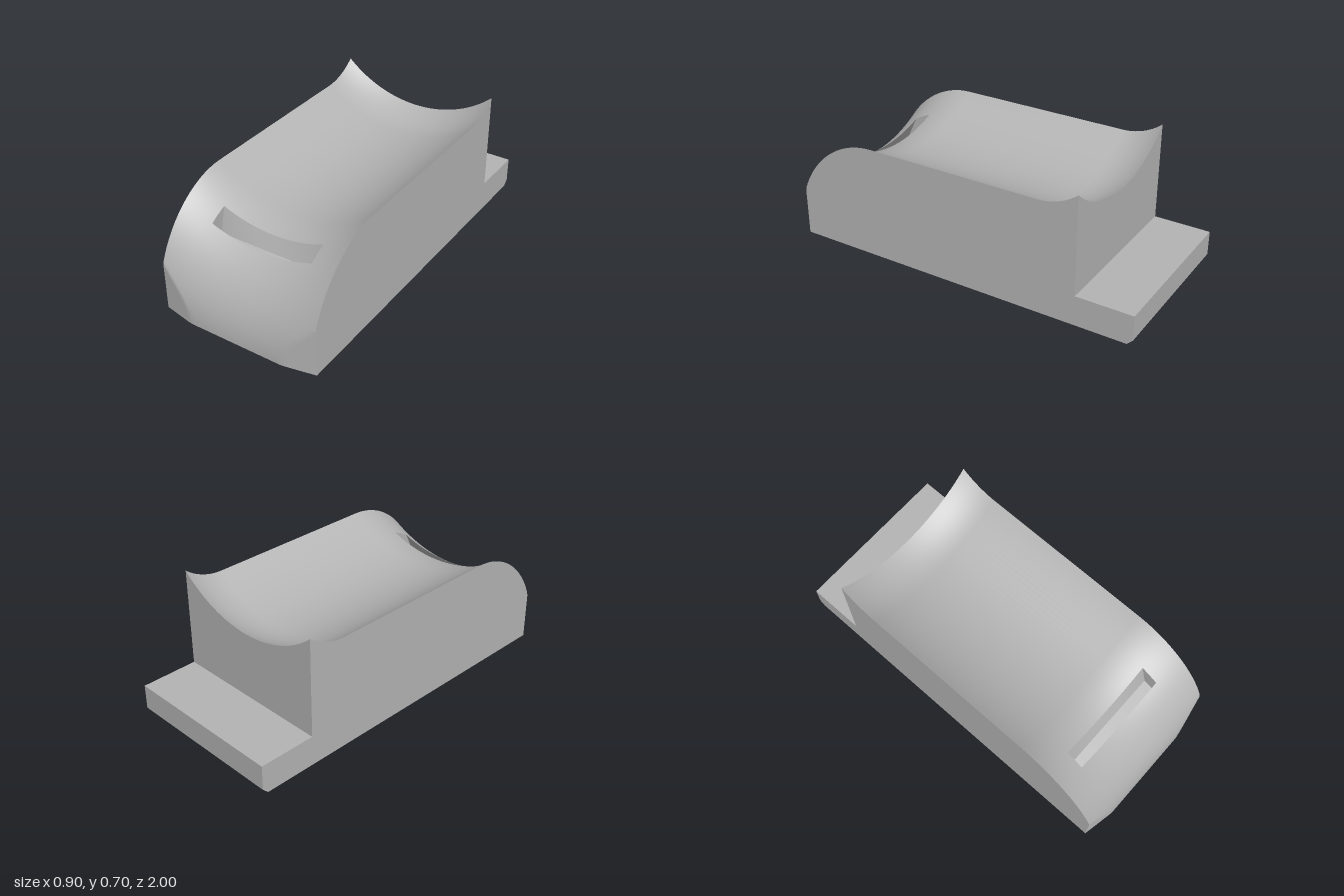
import * as THREE from 'three';
import { mergeGeometries, toCreasedNormals } from 'three/addons/utils/BufferGeometryUtils.js';

const HALF = 0.45, SLOT = 0.292, AXIS = 1.2;   // half width, slot half width, height of the saddle's axis
const SLOT_A = 0.347, SLOT_B = 0.559;          // nose angles where the slot opens and ends

const range = (a, b, n) => Array.from({ length: n + 1 }, (_, i) => a + (b - a) * i / n);

// Saddle surface: a profile of [z, radius] turned about a lengthwise axis above the body
const back = range(-0.69, -0.47, 12).map(z => {
  const d = z + 0.47, R = 0.416;
  return [z, 0.733 - R + Math.sqrt(R * R - d * d)];
});
const nose = a => [0.5 + 0.5 * Math.sin(a), 1.21 - 0.477 * Math.cos(a)];
const rearTop = [...back, ...range(0, SLOT_A, 6).map(nose)];
const slotTop = range(SLOT_A, SLOT_B, 4).slice(1, -1).map(nose);
const lipTop = range(SLOT_B, Math.PI / 2, 28).map(nose);

// Point on the saddle at x, with the front corners cut back
const onSaddle = x => ([z, r]) => [
  Math.min(z, 0.965 + (HALF - Math.abs(x)) * 0.2),
  Math.max(0, AXIS - Math.sqrt(r * r - x * x)),
];

const foot = [[-0.97, 0], [-1, 0.03], [-1, 0.165], [-0.69, 0.165]];
const slotBack = [[0.705, 0.36], [0.76, 0.34], [0.86, 0]];
const slotFront = [0.98, 0];
const noseBase = x => [onSaddle(x)(nose(Math.PI / 2))[0], 0];

// Side-on outlines at a given x
const fullOutline = x => [...foot, ...[...rearTop, ...slotTop, ...lipTop].map(onSaddle(x)), noseBase(x)];
const rearOutline = x => [...foot, ...rearTop.map(onSaddle(x)), ...slotBack];
const lipOutline = x => [...lipTop.map(onSaddle(x)), noseBase(x), slotFront];

// Skin between the outlines at successive x positions
function loft(outline, xs) {
  const pos = [];
  for (let k = 0; k < xs.length - 1; k++) {
    const a = outline(xs[k]), b = outline(xs[k + 1]);
    a.forEach((_, i) => {
      const j = (i + 1) % a.length;
      const A = [xs[k], a[i][1], a[i][0]], B = [xs[k], a[j][1], a[j][0]];
      const C = [xs[k + 1], b[j][1], b[j][0]], D = [xs[k + 1], b[i][1], b[i][0]];
      pos.push(...A, ...B, ...C, ...A, ...C, ...D);
    });
  }
  const g = new THREE.BufferGeometry();
  g.setAttribute('position', new THREE.Float32BufferAttribute(pos, 3));
  return g;
}

// Flat end at x, facing +x or -x
function cap(points, x, facing) {
  const shape = new THREE.Shape(points.map(([z, y]) => new THREE.Vector2(-facing * z, y)));
  const g = new THREE.ShapeGeometry(shape).toNonIndexed();
  g.rotateY(facing * Math.PI / 2).translate(x, 0, 0);
  g.deleteAttribute('uv');
  g.deleteAttribute('normal');
  return g;
}

export function createModel() {
  const group = new THREE.Group();
  group.name = 'saddleBlock';
  const grey = new THREE.MeshStandardMaterial({ color: 0xb4b4b4 });
  grey.name = 'plain grey';

  const middle = range(-SLOT, SLOT, 24);
  const parts = [
    loft(rearOutline, middle),                    // block behind the slot
    loft(lipOutline, middle),                     // nose in front of the slot
    loft(fullOutline, range(-HALF, -SLOT, 10)),   // solid flanks
    loft(fullOutline, range(SLOT, HALF, 10)),
  ];
  // Slot end walls and outer sides
  const slotSection = [onSaddle(SLOT)(nose(SLOT_A)), ...slotBack, slotFront,
    onSaddle(SLOT)(nose(SLOT_B)), ...slotTop.map(onSaddle(SLOT)).reverse()];
  for (const s of [-1, 1]) {
    parts.push(cap(slotSection, s * SLOT, -s));
    parts.push(cap(fullOutline(s * HALF), s * HALF, s));
  }

  const body = new THREE.Mesh(toCreasedNormals(mergeGeometries(parts), 0.4), grey);
  body.name = 'body';
  group.add(body);
  return group;
}
